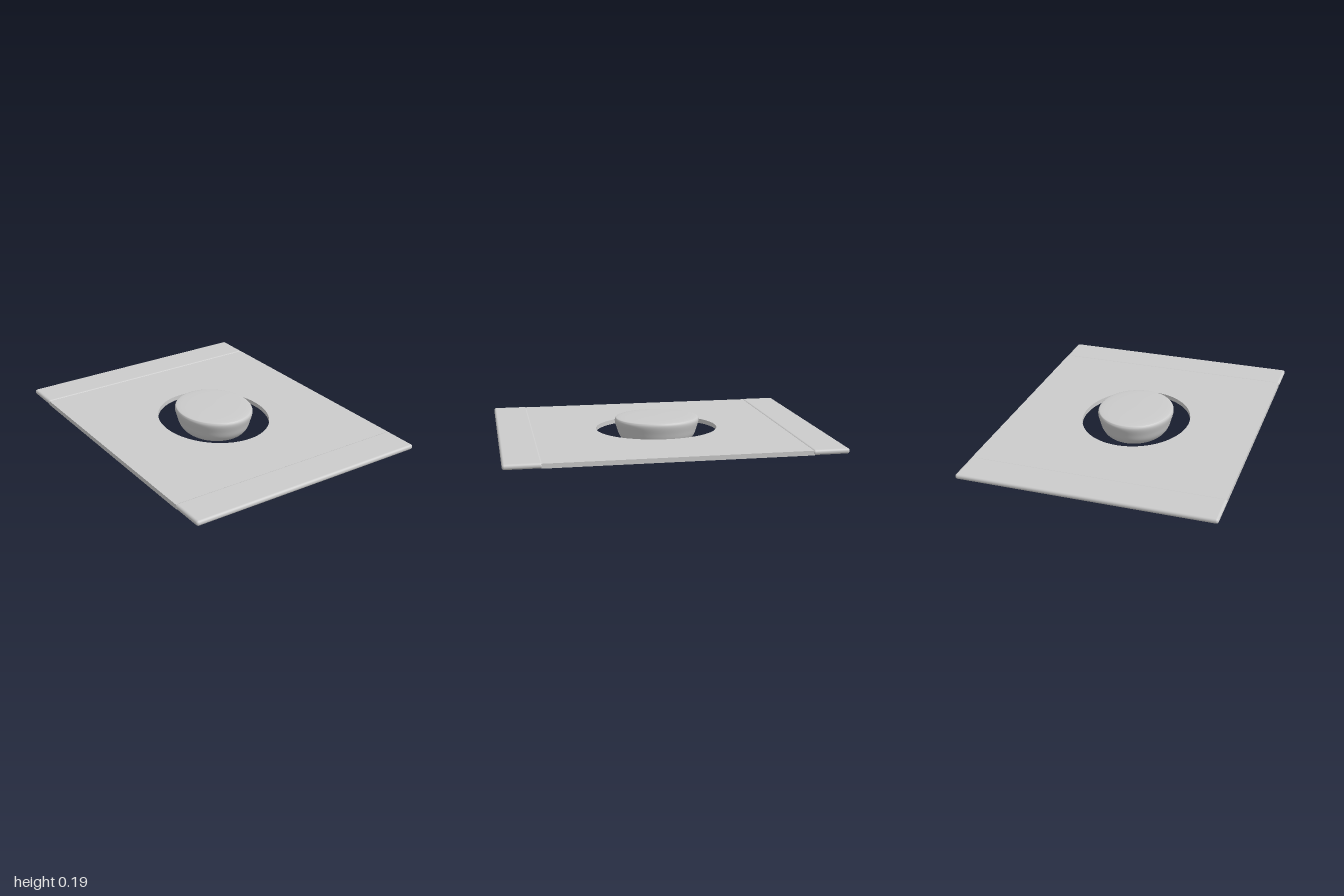
import * as THREE from 'three';
import { RoundedBoxGeometry } from 'three/addons/geometries/RoundedBoxGeometry.js';

const HOLE_X = 0.338, HOLE_Z = 0.384, RING = 0.6;

export function createModel() {
  const group = new THREE.Group();
  const material = new THREE.MeshStandardMaterial({ color: 0xcccccc });
  const add = (name, geometry) => {
    const mesh = new THREE.Mesh(geometry, material);
    mesh.name = name;
    group.add(mesh);
    return mesh;
  };

  // Main slab with an oval opening
  const outline = new THREE.Shape();
  outline.moveTo(-0.77, -0.785).lineTo(0.77, -0.785).lineTo(0.77, 0.785).lineTo(-0.77, 0.785).closePath();
  outline.holes.push(new THREE.Path().absellipse(0, 0, HOLE_X, HOLE_Z, 0, Math.PI * 2, true));
  const slab = new THREE.ExtrudeGeometry(outline, { depth: 0.028, bevelEnabled: false, curveSegments: 64 });
  slab.rotateX(Math.PI / 2).translate(0, 0.112, 0);
  add('slab', slab);

  // Rounded end boards, mirrored front and back
  for (const side of [1, -1]) {
    const board = add(side > 0 ? 'frontEndBoard' : 'backEndBoard',
      new RoundedBoxGeometry(1.548, 0.032, 0.224, 4, 0.015));
    board.position.set(0, 0.1, side * 0.888);
  }

  // Shallow grooved ring below the slab: oval inside, round outside
  const ringProfile = [[0, 0.085], [0.06, 0.081], [0.14, 0.079], [0.4, 0.077], [0.47, 0.081],
    [0.54, 0.077], [0.85, 0.078], [0.95, 0.08], [1, 0.085]];
  const ring = new THREE.LatheGeometry(ringProfile.map(([t, y]) => new THREE.Vector2(1 + t, y)), 96);
  const p = ring.attributes.position;
  for (let i = 0; i < p.count; i++) {
    const x = p.getX(i), z = p.getZ(i), r = Math.hypot(x, z), t = r - 1;
    p.setX(i, x / r * THREE.MathUtils.lerp(HOLE_X, RING, t));
    p.setZ(i, z / r * THREE.MathUtils.lerp(HOLE_Z, RING, t));
  }
  ring.computeVertexNormals();
  add('undersideRing', ring);

  // Smooth stone hanging in the opening, flat on top and tapering below
  const stoneCurve = new THREE.SplineCurve([[0, 0.003], [0.3, 0.005], [0.58, 0.014], [0.78, 0.036],
    [0.89, 0.07], [0.95, 0.115], [0.995, 0.155], [0.985, 0.176], [0.92, 0.184], [0.6, 0.188], [0, 0.19]]
    .map(([r, y]) => new THREE.Vector2(r, y)));
  const stonePoints = stoneCurve.getPoints(50);
  stonePoints.forEach((v) => { v.x = Math.max(0, v.x); });
  const stone = new THREE.LatheGeometry(stonePoints, 64);
  stone.scale(0.237, 1, 0.268);
  stone.translate(0.003, 0, -0.002);
  add('stone', stone);

  return group;
}
